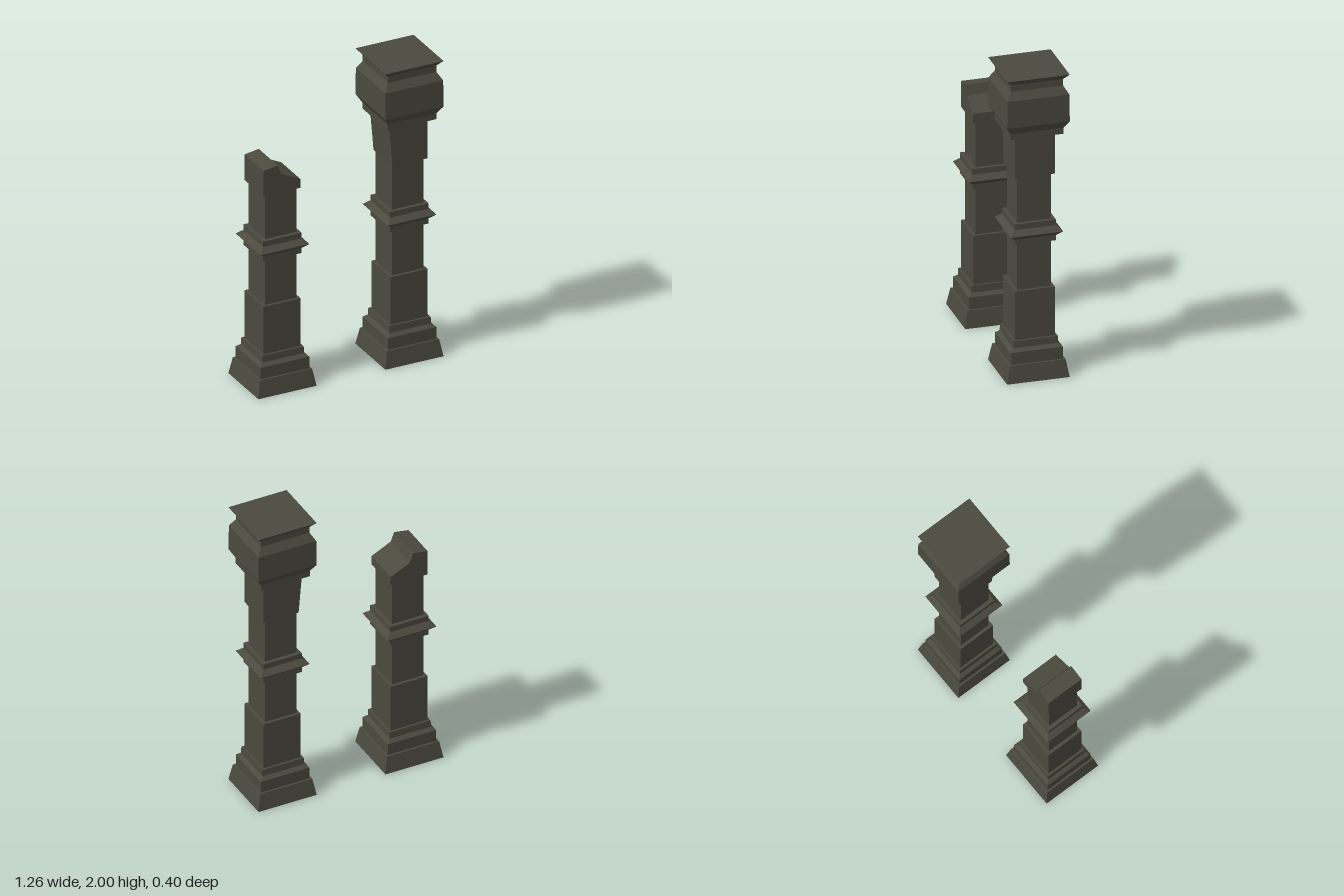
import * as THREE from 'three';

const stone = new THREE.MeshStandardMaterial({ color: 0x4b4a3f });
stone.name = 'dark stone';

function addPart(parent, name, geometry) {
  const flat = geometry.index ? geometry.toNonIndexed() : geometry;
  flat.computeVertexNormals();
  const mesh = new THREE.Mesh(flat, stone);
  mesh.name = name;
  parent.add(mesh);
}

// Closed square moulding from [half width, height] pairs, bottom to top
function squareTier(profile) {
  const points = profile.map(([half, y]) => new THREE.Vector2(half * Math.SQRT2, y));
  points.unshift(new THREE.Vector2(0, profile[0][1]));
  points.push(new THREE.Vector2(0, profile[profile.length - 1][1]));
  return new THREE.LatheGeometry(points, 4, Math.PI / 4);
}

// Prism along z from an x-y outline
function prism(outline, half) {
  const shape = new THREE.Shape(outline.map(([x, y]) => new THREE.Vector2(x, y)));
  return new THREE.ExtrudeGeometry(shape, { depth: 2 * half, bevelEnabled: false }).translate(0, 0, -half);
}

// Tiers shared by both pillars
const tiers = {
  plinth: [[0.198, 0], [0.178, 0.112]],
  baseMoulding: [[0.165, 0.112], [0.165, 0.19], [0.142, 0.21], [0.14, 0.255]],
  lowerBlock: [[0.126, 0.255], [0.126, 0.577]],
  lowerShaft: [[0.107, 0.577], [0.107, 0.885]],
  middleRing: [[0.131, 0.885], [0.131, 0.92], [0.166, 0.953], [0.131, 0.985], [0.131, 1.022]],
  upperShaft: [[0.107, 1.022], [0.107, 1.325]],
};

function pillar(name, x) {
  const group = new THREE.Group();
  group.name = name;
  group.position.x = x;
  for (const [part, profile] of Object.entries(tiers)) addPart(group, part, squareTier(profile));
  return group;
}

export function createModel() {
  const model = new THREE.Group();
  model.name = 'ruinedPillars';

  // Whole pillar with a slightly worn neck and a wide capital
  const whole = pillar('wholePillar', 0.432);
  addPart(whole, 'neckBlock', prism(
    [[-0.112, 1.325], [0.126, 1.325], [0.126, 1.6], [-0.132, 1.6], [-0.132, 1.56], [-0.12, 1.42]], 0.126));
  addPart(whole, 'capital', squareTier([
    [0.167, 1.6], [0.167, 1.64], [0.198, 1.692], [0.196, 1.868],
    [0.165, 1.92], [0.165, 1.962], [0.198, 2]]));
  model.add(whole);

  // Broken pillar ending in a jagged stump
  const broken = pillar('brokenPillar', -0.432);
  addPart(broken, 'brokenTop', prism(
    [[-0.127, 1.325], [0.125, 1.325], [0.125, 1.385], [-0.006, 1.45], [-0.029, 1.512], [-0.127, 1.496]], 0.126));
  model.add(broken);

  return model;
}
